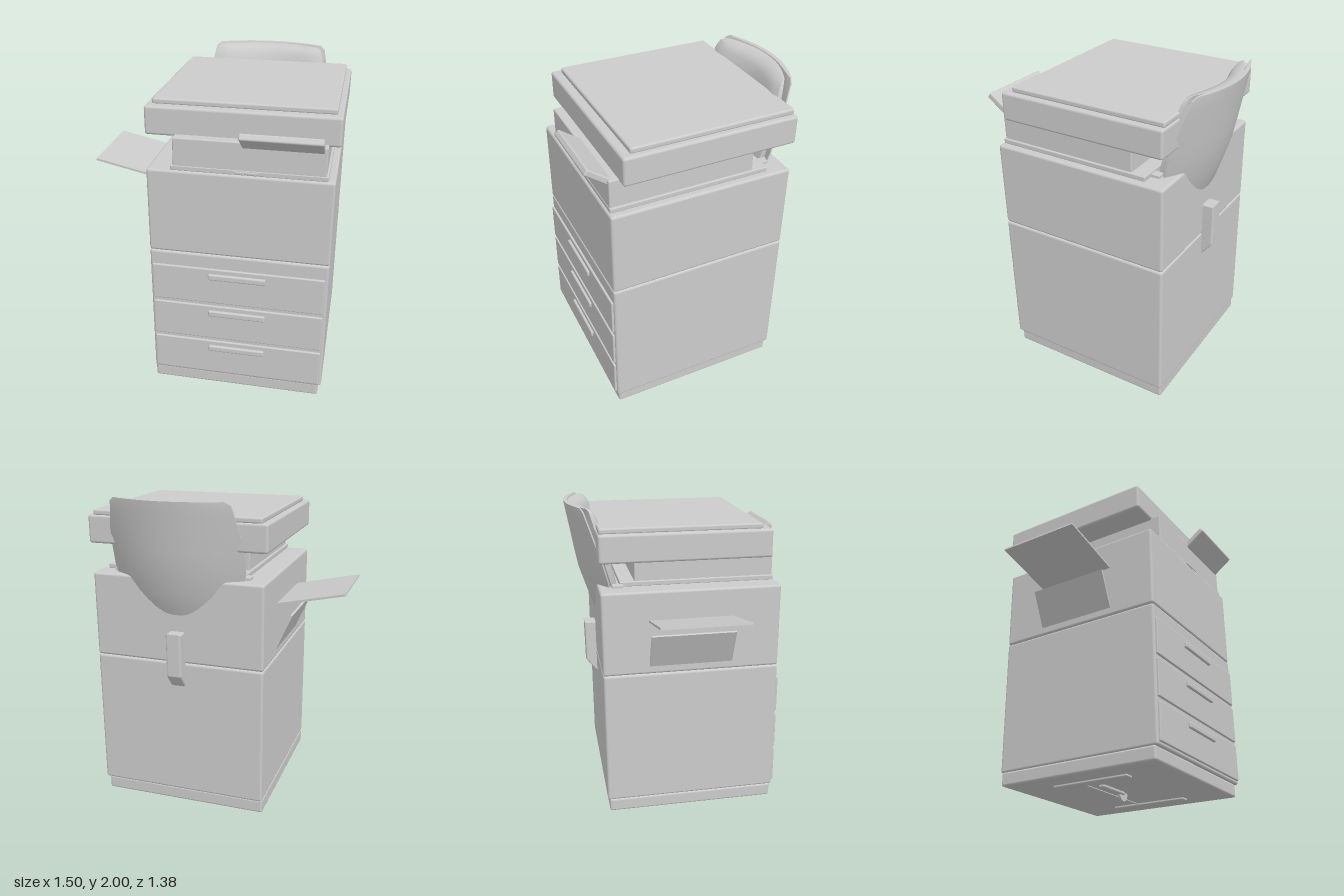
import * as THREE from 'three';
import { RoundedBoxGeometry } from 'three/addons/geometries/RoundedBoxGeometry.js';
import { toCreasedNormals } from 'three/addons/utils/BufferGeometryUtils.js';

const grey = new THREE.MeshStandardMaterial({ color: 0xcccccc });
const greyDouble = new THREE.MeshStandardMaterial({ color: 0xcccccc, side: THREE.DoubleSide });
const CHAIR_X = 0.197;

export function createModel() {
  const model = new THREE.Group();
  model.name = 'copierWithChair';

  function add(name, geometry, material = grey) {
    const mesh = new THREE.Mesh(geometry, material);
    mesh.name = name;
    model.add(mesh);
    return mesh;
  }

  // Box given by its limits on each axis, with optional rounded edges
  function box(name, [x0, x1], [y0, y1], [z0, z1], r = 0) {
    const size = [x1 - x0, y1 - y0, z1 - z0];
    const geometry = r ? new RoundedBoxGeometry(...size, 2, r) : new THREE.BoxGeometry(...size);
    const mesh = add(name, geometry);
    mesh.position.set((x0 + x1) / 2, (y0 + y1) / 2, (z0 + z1) / 2);
    return mesh;
  }

  // Cabinet stack
  box('plinth', [-0.34, 0.715], [0.055, 0.142], [-0.51, 0.57], 0.014);
  box('lowerCabinet', [-0.34, 0.735], [0.138, 1.008], [-0.522, 0.585], 0.016);
  box('upperCabinet', [-0.34, 0.735], [1.008, 1.532], [-0.522, 0.585], 0.016);
  box('outputTray', [-0.2, 0.695], [1.53, 1.56], [-0.39, 0.573], 0.006);
  box('trayGrip', [0.17, 0.31], [1.538, 1.552], [0.565, 0.578], 0.004);
  box('scannerNeck', [-0.185, 0.682], [1.54, 1.725], [-0.3, 0.57], 0.008);
  box('scannerBody', [-0.36, 0.748], [1.71, 1.88], [-0.525, 0.513], 0.016);
  box('scannerLid', [-0.325, 0.715], [1.875, 1.911], [-0.518, 0.46], 0.012);

  // Drawers with bar handles
  for (const y of [0.16, 0.42, 0.68]) {
    box('drawerFront', [-0.325, 0.717], [y, y + 0.237], [0.57, 0.598], 0.007);
    box('drawerHandle', [0.02, 0.37], [y + 0.168, y + 0.208], [0.59, 0.614], 0.01);
  }

  // Control panel rising towards the front
  const panel = add('controlPanel', new RoundedBoxGeometry(0.455, 0.04, 0.17, 2, 0.01));
  panel.position.set(0.4375, 1.75, 0.615);
  panel.rotation.x = -0.63;

  // Side trays: thin plates from a point on the cabinet wall to an outer point
  function sidePlate(name, xa, ya, xb, yb) {
    const mesh = add(name, new THREE.BoxGeometry(Math.hypot(xb - xa, yb - ya), 0.013, 0.52));
    mesh.position.set((xa + xb) / 2, (ya + yb) / 2, 0.025);
    mesh.rotation.z = Math.atan2(yb - ya, xb - xa);
  }
  sidePlate('sideTray', -0.32, 1.343, -0.753, 1.438);
  sidePlate('sideFlap', -0.325, 1.04, -0.432, 1.283);

  // Curved chair slab lofted from rows of [y, halfWidth, backZ, bow, thickness]
  function curvedSlab(name, rows, edgePower) {
    const N = 20, ring = 2 * (N + 1), pos = [], index = [];
    for (const [y, half, z, bow, thick] of rows) {
      for (let k = 0; k < ring; k++) {
        const front = k > N;
        const u = ((front ? ring - 1 - k : k) / N) * 2 - 1;
        const depth = front ? thick * (1 - 0.7 * Math.abs(u) ** edgePower) : 0;
        pos.push(CHAIR_X + half * u, y, z + bow * u * u + depth);
      }
    }
    for (let r = 0; r < rows.length - 1; r++) {
      for (let k = 0; k < ring; k++) {
        const a = r * ring + k, b = r * ring + (k + 1) % ring;
        index.push(a, a + ring, b, b, a + ring, b + ring);
      }
    }
    // Close both ends
    for (let k = 0; k < N; k++) {
      const m = ring - 1 - k, top = (rows.length - 1) * ring;
      index.push(k, k + 1, m, k + 1, m - 1, m);
      index.push(top + k, top + m, top + k + 1, top + k + 1, top + m, top + m - 1);
    }
    const geometry = new THREE.BufferGeometry();
    geometry.setAttribute('position', new THREE.Float32BufferAttribute(pos, 3));
    geometry.setIndex(index);
    return add(name, toCreasedNormals(geometry, 0.7), greyDouble);
  }
  curvedSlab('chairBackShell', [
    [1.22, 0.26, -0.47, 0.08, 0.03], [1.315, 0.32, -0.525, 0.1, 0.03],
    [1.45, 0.385, -0.57, 0.13, 0.03], [1.58, 0.412, -0.612, 0.145, 0.03],
    [1.7, 0.41, -0.635, 0.135, 0.03], [1.82, 0.398, -0.655, 0.115, 0.03],
    [1.92, 0.375, -0.673, 0.1, 0.03], [1.98, 0.362, -0.683, 0.09, 0.03],
    [2.0, 0.335, -0.686, 0.08, 0.025],
  ], 8);
  curvedSlab('chairBackCushion', [
    [1.4, 0.35, -0.53, 0.12, 0.07], [1.56, 0.385, -0.58, 0.135, 0.1],
    [1.7, 0.385, -0.608, 0.125, 0.1], [1.85, 0.375, -0.635, 0.115, 0.095],
    [1.94, 0.355, -0.648, 0.105, 0.085], [1.98, 0.34, -0.655, 0.1, 0.06],
    [1.993, 0.32, -0.66, 0.09, 0.02],
  ], 6);

  // Chair support bar showing through the back wall
  const barProfile = new THREE.Shape([
    [0.5, 1.2], [0.585, 1.2], [0.583, 0.945], [0.565, 0.92], [0.522, 0.868], [0.5, 0.868],
  ].map(([d, y]) => new THREE.Vector2(d, y)));
  const bar = add('chairSupportBar', new THREE.ExtrudeGeometry(barProfile, {
    depth: 0.07, bevelThickness: 0.012, bevelSize: 0.008, bevelSegments: 2,
  }));
  bar.rotation.y = Math.PI / 2;
  bar.position.x = CHAIR_X - 0.035;

  // Chair brackets on the cabinet top
  for (const side of [-1, 1]) {
    const x = CHAIR_X + side * 0.405;
    box('chairBracket', [x - 0.025, x + 0.025], [1.525, 1.55], [-0.44, -0.37], 0.006);
  }

  // Chair base runners, crossbar and caster under the plinth
  for (const side of [-1, 1]) {
    const x = CHAIR_X + side * 0.347;
    box('baseRunner', [x - 0.033, x + 0.033], [0.042, 0.065], [-0.23, 0.29], 0.006);
  }
  box('baseCrossbar', [-0.15, 0.54], [0.05, 0.06], [-0.06, -0.045]);
  box('casterArm', [-0.05, 0.2], [0.037, 0.065], [0.01, 0.05], 0.01);
  const caster = add('caster', new THREE.CylinderGeometry(0.045, 0.045, 0.018, 20));
  caster.rotation.x = Math.PI / 2;
  caster.position.set(CHAIR_X, 0.045, 0.027);

  return model;
}
